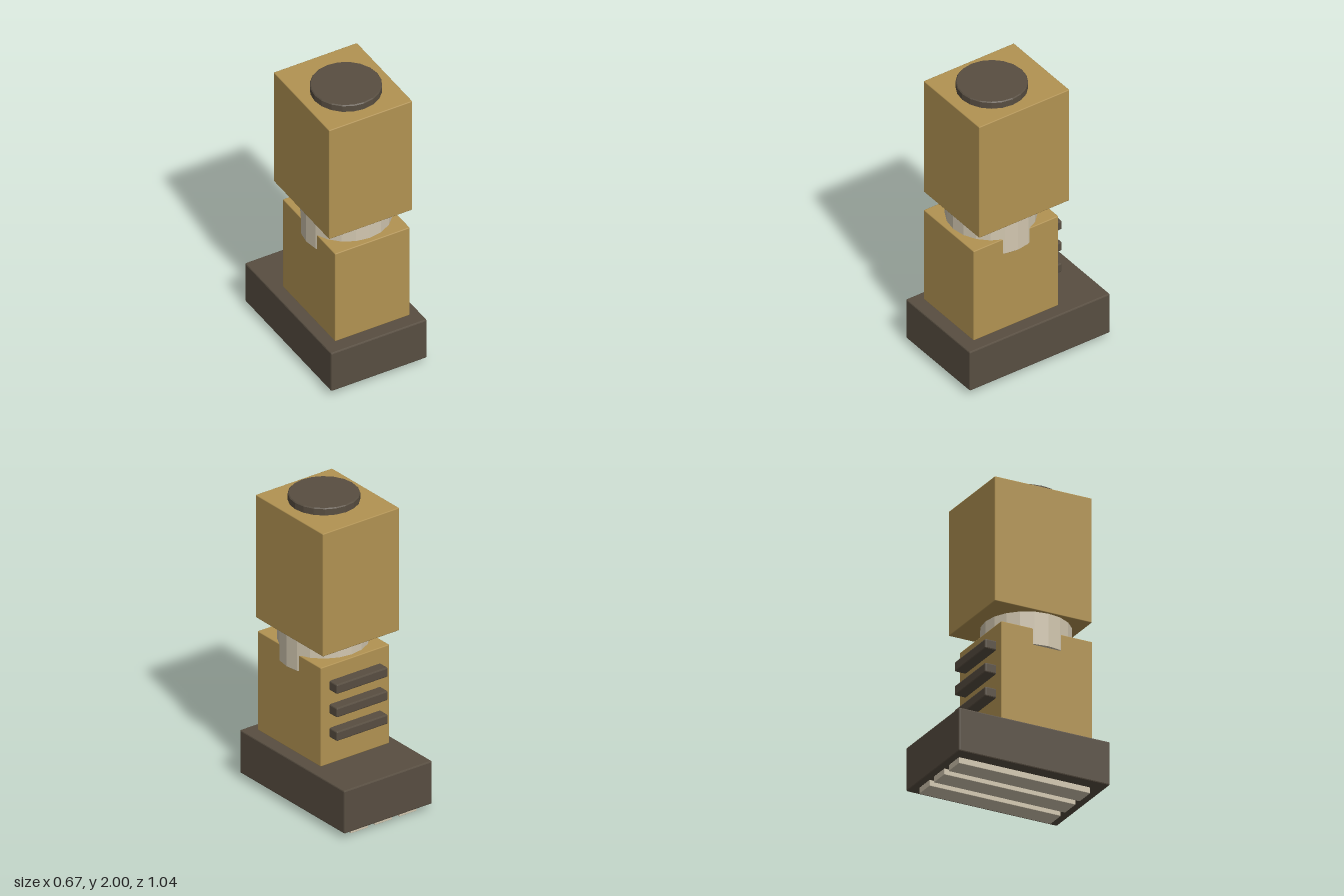
import * as THREE from 'three';
import { RoundedBoxGeometry } from 'three/addons/geometries/RoundedBoxGeometry.js';

const mat = (name, color, flatShading = false) => {
  const m = new THREE.MeshStandardMaterial({ color, flatShading });
  m.name = name;
  return m;
};

export function createModel() {
  const leg = new THREE.Group();
  leg.name = 'blockLeg';

  const gold = mat('gold', 0xb29352);
  const dark = mat('darkBrown', 0x584e41, true);
  const pale = mat('paleGrey', 0xd2c7b0, true);

  const add = (name, geometry, material) => {
    const mesh = new THREE.Mesh(geometry, material);
    mesh.name = name;
    leg.add(mesh);
    return mesh;
  };

  // Softly chamfered box given by its limits on each axis
  const box = (name, material, [x0, x1], [y0, y1], [z0, z1], bevel = 0.006) => {
    const geometry = new RoundedBoxGeometry(x1 - x0, y1 - y0, z1 - z0, 1, bevel);
    geometry.translate((x0 + x1) / 2, (y0 + y1) / 2, (z0 + z1) / 2);
    return add(name, geometry, material);
  };

  // Twenty-sided disc with a chamfered rim
  const disc = (name, material, radius, y0, y1, z, bevel) => {
    const profile = [
      [0, y0], [radius - bevel, y0], [radius, y0 + bevel],
      [radius, y1 - bevel], [radius - bevel, y1], [0, y1],
    ].map(([r, y]) => new THREE.Vector2(r, y));
    const geometry = new THREE.LatheGeometry(profile, 20);
    geometry.translate(0, 0, z);
    return add(name, geometry, material);
  };

  // Foot and the three tread strips beneath it
  box('foot', dark, [-0.335, 0.335], [0.04, 0.33], [-0.52, 0.52], 0.008);
  for (const x of [-0.185, 0, 0.185]) {
    box('soleTread', pale, [x - 0.066, x + 0.066], [0, 0.042], [-0.475, 0.43], 0.003);
  }

  // Shin, knee joint and thigh
  box('shin', gold, [-0.262, 0.262], [0.34, 1.01], [-0.19, 0.44]);
  disc('kneeJoint', pale, 0.281, 0.9, 1.125, 0.125, 0.003);
  box('thigh', gold, [-0.292, 0.292], [1.12, 1.952], [-0.25, 0.42]);

  // Hip disc on top of the thigh
  disc('hipDisc', dark, 0.22, 1.9, 2, 0.12, 0.006);

  // Vent bars on the back of the shin
  for (const y of [0.553, 0.713, 0.872]) {
    box('calfVent', dark, [-0.195, 0.195], [y - 0.032, y + 0.032], [-0.263, -0.18], 0.008);
  }

  return leg;
}
